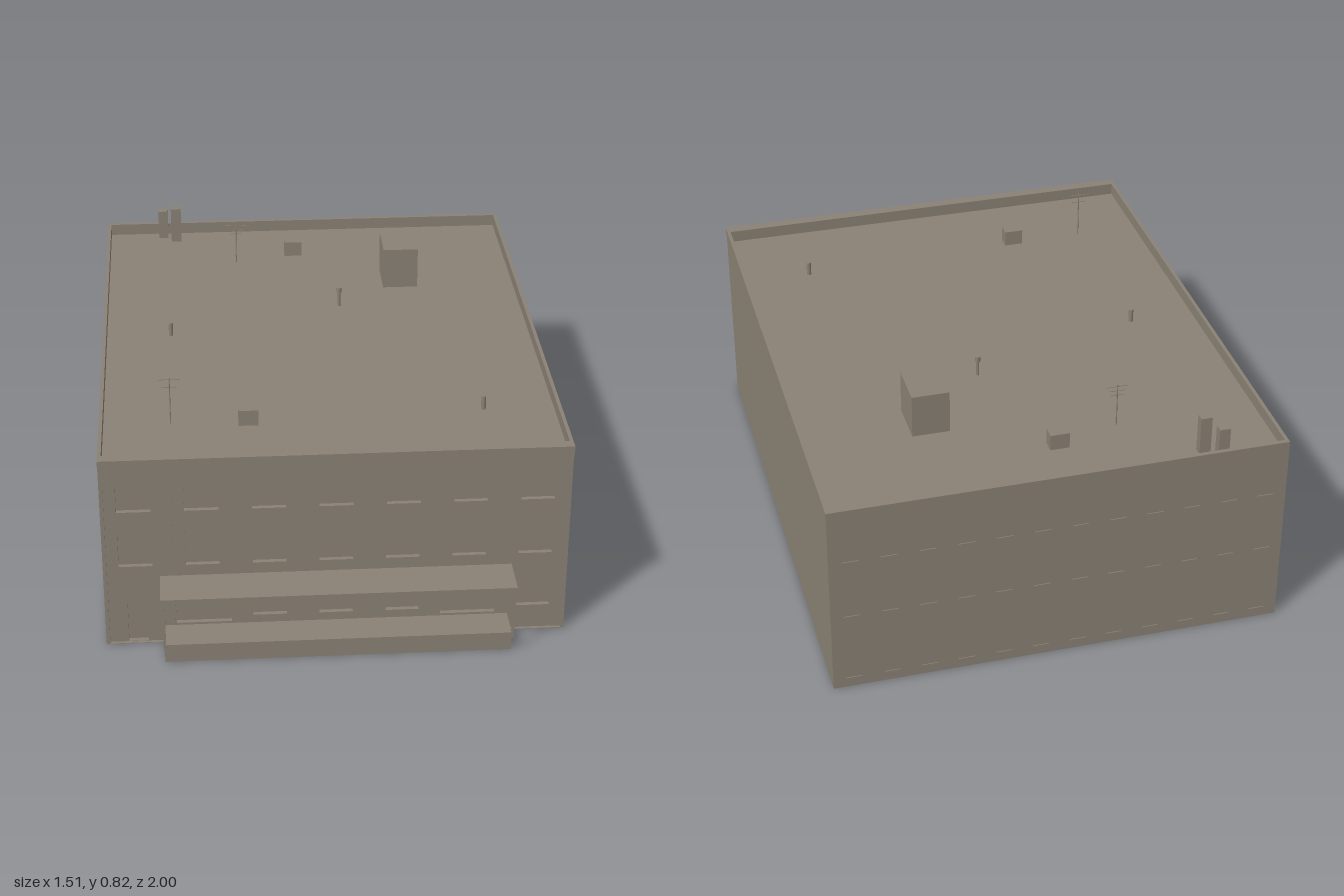
import * as THREE from 'three';

const stone = new THREE.MeshStandardMaterial({ color: 0x8a8174, side: THREE.DoubleSide });
stone.name = 'grey brown stone';

const W = 0.757, BACK = -1, FRONT = 0.855, ROOF = 0.655, TOP = 0.697;

export function createModel() {
  const model = new THREE.Group();
  model.name = 'building';

  const add = (name, geo, x = 0, y = 0, z = 0) => {
    const mesh = new THREE.Mesh(geo, stone);
    mesh.name = name;
    mesh.position.set(x, y, z);
    model.add(mesh);
    return mesh;
  };
  // Box given by its limits; faces listed in drop are left open
  // (0 +x, 1 -x, 2 top, 3 bottom, 4 front, 5 back)
  const box = (name, x0, x1, y0, y1, z0, z1, drop = []) => {
    const geo = new THREE.BoxGeometry(x1 - x0, y1 - y0, z1 - z0);
    if (drop.length) {
      const kept = Array.from(geo.index.array).filter((v, i) => !drop.includes(Math.floor(i / 6)));
      geo.setIndex(kept);
      geo.clearGroups();
    }
    return add(name, geo, (x0 + x1) / 2, (y0 + y1) / 2, (z0 + z1) / 2);
  };
  const rect = (x0, x1, y0, y1, Type = THREE.Shape) => {
    const p = new Type();
    p.moveTo(x0, y0);
    p.lineTo(x1, y0);
    p.lineTo(x1, y1);
    p.lineTo(x0, y1);
    p.closePath();
    return p;
  };

  // Hollow body, open underneath and at the facade
  box('bodyShell', -W, W, 0, ROOF, BACK, FRONT, [3, 4]);

  // Parapet ring around the sunken roof
  const ring = rect(-W, W, -FRONT, -BACK);
  ring.holes.push(rect(-0.745, 0.745, -0.83, 0.985, THREE.Path));
  const parapet = new THREE.ExtrudeGeometry(ring, { depth: TOP - ROOF, bevelEnabled: false });
  parapet.rotateX(-Math.PI / 2);
  add('parapet', parapet, 0, ROOF, 0);

  // Facade: pilaster layer in front of a recessed wall with openings
  const pilasters = rect(-W, W, 0, ROOF);
  const wall = rect(-W, W, 0, ROOF);
  const panelZ = FRONT - 0.01;
  const opening = (name, x0, x1, y0, y1) => {
    wall.holes.push(rect(x0, x1, y0, y1, THREE.Path));
    box(name, x0, x1, y0, y1, panelZ - 0.016, panelZ, [4]);
  };
  for (let i = -3; i <= 3; i++) {
    const x = i * 0.217;
    pilasters.holes.push(rect(x - 0.094, x + 0.094, 0.001, 0.588, THREE.Path));
    opening('upperWindow', x - 0.055, x + 0.055, 0.494, 0.587);
    opening('middleWindow', x - 0.055, x + 0.055, 0.29, 0.417);
    if (i === -3) opening('sideDoor', x - 0.032, x + 0.032, 0.002, 0.146);
    else if (Math.abs(i) === 2) opening('loadingDoor', x - 0.09, x + 0.09, 0.066, 0.23);
    else opening('groundWindow', x - 0.055, x + 0.055, 0.087, 0.197);
    box('corniceBlock', x - 0.094, x + 0.094, 0.652, 0.664, FRONT, FRONT + 0.007);
  }
  add('pilasters', new THREE.ExtrudeGeometry(pilasters, { depth: 0.01, bevelEnabled: false }), 0, 0, panelZ);
  add('facadeWall', new THREE.ShapeGeometry(wall), 0, 0, panelZ);
  box('cornice', -W, W, 0.664, TOP, FRONT, 0.868);

  // Loading platform with canopy and posts
  box('platform', -0.565, 0.565, 0, 0.065, FRONT, 0.97);
  box('canopy', -0.573, 0.573, 0.245, 0.257, FRONT, 1);
  for (const s of [-1, 1]) box('canopyPost', s * 0.564 - 0.004, s * 0.564 + 0.004, 0.065, 0.245, 0.99, 0.998);

  // Thin sills on the back wall
  for (const y of [0.035, 0.285, 0.5]) {
    for (let i = 0; i < 12; i++) {
      const x = -0.6875 + i * 0.125;
      box('backSill', x - 0.027, x + 0.027, y - 0.002, y + 0.002, BACK - 0.003, BACK);
    }
  }

  // Roof structures
  box('stairHouse', 0.264, 0.39, ROOF, 0.805, -0.6, -0.44);
  box('chimney', -0.561, -0.525, ROOF, 0.765, -0.975, -0.943);
  box('chimney', -0.513, -0.475, ROOF, 0.79, -0.935, -0.905);
  box('roofUnit', -0.085, -0.02, ROOF, 0.71, -0.79, -0.744);
  box('roofUnit', -0.303, -0.238, ROOF, 0.71, 0.54, 0.587);

  // Vent pipes
  const pipe = (name, r, y0, y1, x, z) =>
    add(name, new THREE.CylinderGeometry(r, r, y1 - y0, 10), x, (y0 + y1) / 2, z);
  pipe('ventPipe', 0.008, ROOF, 0.703, -0.52, -0.095);
  pipe('ventPipe', 0.008, ROOF, 0.703, 0.51, 0.52);
  pipe('ventStem', 0.005, ROOF, 0.71, 0.09, -0.295);
  pipe('ventCap', 0.009, 0.71, 0.728, 0.09, -0.295);

  // Aerials: a mast with crossbars of given height and length
  const aerial = (x, z, top, bars) => {
    pipe('aerialMast', 0.002, ROOF, top, x, z);
    for (const [y, len] of bars) {
      box('aerialBar', x - len / 2, x + len / 2, y - 0.001, y + 0.001, z - 0.001, z + 0.001);
    }
  };
  aerial(-0.525, 0.558, 0.825, [[0.818, 0.075], [0.79, 0.05]]);
  aerial(-0.27, -0.703, 0.81, [[0.803, 0.075], [0.787, 0.055], [0.77, 0.045]]);

  return model;
}
